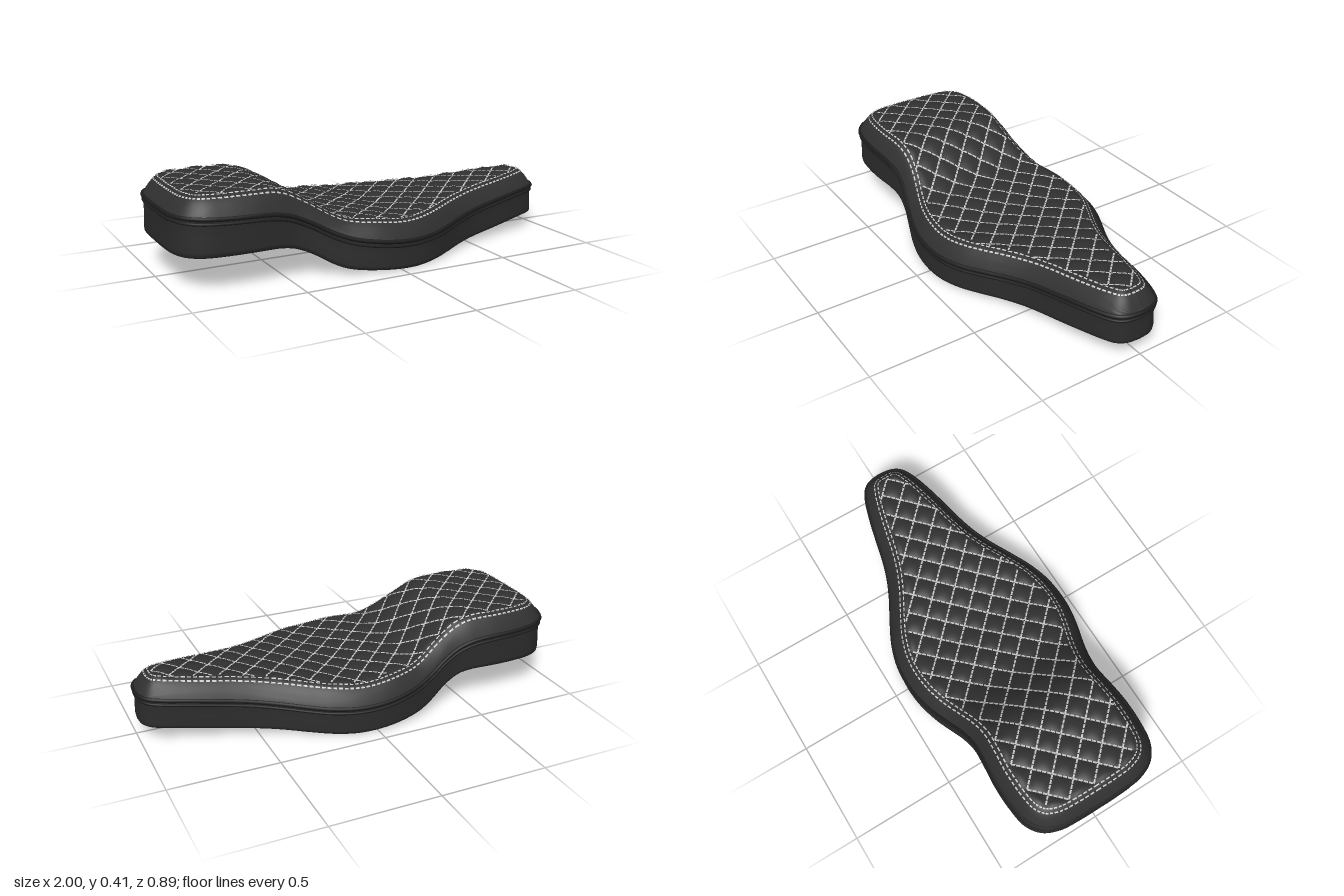
import * as THREE from 'three';

// Smooth curve through [x, value] pairs
function profile(pts) {
  const slope = (i) => {
    const a = pts[Math.max(i - 1, 0)], b = pts[Math.min(i + 1, pts.length - 1)];
    return (b[1] - a[1]) / (b[0] - a[0]);
  };
  return (x) => {
    let i = 0;
    while (i < pts.length - 2 && x > pts[i + 1][0]) i++;
    const [x0, y0] = pts[i], [x1, y1] = pts[i + 1], h = x1 - x0;
    const t = THREE.MathUtils.clamp((x - x0) / h, 0, 1), t2 = t * t, t3 = t2 * t;
    return y0 * (2 * t3 - 3 * t2 + 1) + y1 * (3 * t2 - 2 * t3)
      + slope(i) * h * (t3 - 2 * t2 + t) + slope(i + 1) * h * (t3 - t2);
  };
}

// Heights along the seat: underside, piping seam and cushion top
const bottomY = profile([[-1, .155], [-.57, .155], [-.48, .143], [-.4, .11], [-.3, .052], [-.23, .028],
  [-.1, .013], [.05, .004], [.18, .006], [.4, .022], [.6, .039], [.8, .062], [.9, .07], [1, .07]]);
const seamY = profile([[-1, .328], [-.8, .32], [-.6, .312], [-.5, .293], [-.4, .25], [-.3, .196],
  [-.2, .162], [0, .136], [.2, .136], [.4, .155], [.6, .18], [.8, .203], [1, .216]]);
const topY = profile([[-1, .413], [-.58, .413], [-.5, .398], [-.4, .345], [-.3, .282], [-.23, .252],
  [-.1, .238], [.05, .225], [.2, .234], [.4, .252], [.6, .272], [.8, .291], [.9, .3], [1, .302]]);

// Plan outline: one half as a curve, the other mirrored
const N = 260;
const half = new THREE.CatmullRomCurve3([
  [-.99, 0], [-.989, .1], [-.98, .2], [-.945, .278], [-.88, .325], [-.78, .343], [-.66, .346], [-.55, .337],
  [-.46, .332], [-.38, .345], [-.3, .37], [-.2, .404], [-.1, .427], [0, .433], [.1, .422], [.2, .39], [.3, .34],
  [.4, .286], [.5, .242], [.6, .212], [.7, .189], [.8, .164], [.9, .132], [.955, .102], [.982, .06], [.99, 0],
].map(([x, z]) => new THREE.Vector3(x, 0, z))).getSpacedPoints(N);
const loop = [...half, ...half.slice(1, -1).reverse().map((p) => new THREE.Vector3(p.x, 0, -p.z))];
const L = loop.length;

// Outline point moved inwards by d
function insetPoint(i, d) {
  const p = loop[i % L], a = loop[(i + L - 1) % L], b = loop[(i + 1) % L];
  const dx = b.x - a.x, dz = b.z - a.z, len = Math.hypot(dx, dz);
  return new THREE.Vector3(p.x + dz / len * d, 0, p.z - dx / len * d);
}

function edgeDistance(x, z) {
  let best = 9;
  for (const p of loop) best = Math.min(best, (p.x - x) ** 2 + (p.z - z) ** 2);
  return Math.sqrt(best);
}

// Cushion height: rounded shoulder plus diamond quilting
const PITCH = .13, PUFF = .012;
function cushionY(x, z) {
  const d = edgeDistance(x, z);
  const shoulder = 1 - (1 - Math.min(d / .1, 1)) ** 2.2;
  const a = Math.abs(Math.sin((x + z) * Math.PI / PITCH));
  const b = Math.abs(Math.sin((x - z) * Math.PI / PITCH));
  const mask = THREE.MathUtils.smoothstep(d, .06, .09);
  const base = seamY(x) + (topY(x) - seamY(x)) * shoulder;
  return base + mask * PUFF * ((a * b) ** .6 - .7);
}

// Grid surface from a point function; faces along (j direction) x (i direction)
function grid(ni, nj, point) {
  const pos = [], idx = [];
  for (let i = 0; i <= ni; i++) for (let j = 0; j <= nj; j++) pos.push(...point(i, j));
  for (let i = 0; i < ni; i++) for (let j = 0; j < nj; j++) {
    const a = i * (nj + 1) + j, b = a + nj + 1;
    idx.push(a, a + 1, b, b, a + 1, b + 1);
  }
  return finish(pos, idx);
}

function finish(pos, idx) {
  const g = new THREE.BufferGeometry();
  g.setAttribute('position', new THREE.Float32BufferAttribute(pos, 3));
  g.setIndex(idx);
  g.computeVertexNormals();
  return g;
}

// Thin thread dashes lying on the cushion, from a list of [start, end] pairs
function stitches(dashes, width) {
  const pos = [], idx = [];
  for (const [a, b] of dashes) {
    const dx = b.x - a.x, dz = b.z - a.z, s = width / 2 / Math.hypot(dx, dz), n = pos.length / 3;
    for (const [p, k] of [[a, s], [a, -s], [b, s], [b, -s]]) {
      const x = p.x + dz * k, z = p.z - dx * k;
      pos.push(x, cushionY(x, z) + .005, z);
    }
    idx.push(n, n + 1, n + 2, n + 2, n + 1, n + 3);
  }
  return finish(pos, idx);
}

export function createModel() {
  const group = new THREE.Group();
  const material = (name, color, side = THREE.FrontSide) => {
    const m = new THREE.MeshStandardMaterial({ color, side });
    m.name = name;
    return m;
  };
  const leather = material('charcoal leather', 0x303030);
  const cover = material('side leather', 0x2c2c2c);
  const trim = material('dark piping', 0x1e1e1e);
  const under = material('base board', 0x222222);
  const thread = material('pale thread', 0xc4c4c4, THREE.DoubleSide);
  const add = (name, geometry, mat) => {
    const mesh = new THREE.Mesh(geometry, mat);
    mesh.name = name;
    group.add(mesh);
  };

  // Quilted cushion, rows packed more closely near the edges
  const rows = 80;
  add('quiltedCushion', grid(N, rows, (i, j) => {
    const v = 2 * j / rows - 1;
    const x = half[i].x, z = half[i].z * (.7 * v + .3 * Math.sin(v * Math.PI / 2));
    return [x, cushionY(x, z), z];
  }), leather);

  // Side wall with a softly rounded lower edge
  const levels = [[0, 0], [.2, .003], [.5, .001], [.85, -.002], [.95, 0], [1, .01]];
  add('sideWall', grid(L, levels.length - 1, (i, j) => {
    const [t, d] = levels[j], p = insetPoint(i, d), x = loop[i % L].x;
    return [p.x, THREE.MathUtils.lerp(seamY(x), bottomY(x), t), p.z];
  }), cover);

  // Underside
  add('underside', grid(N, 4, (i, j) => {
    const p = insetPoint(i, .01);
    return [p.x, bottomY(half[i].x), p.z * (1 - j / 2)];
  }), under);

  // Piping and the smaller welt below it
  for (const [name, drop, radius, out] of [['piping', 0, .01, 0], ['lowerWelt', .022, .006, 0]]) {
    const pts = [];
    for (let i = 0; i < L; i += 4) {
      const p = insetPoint(i, -out);
      pts.push(p.setY(seamY(p.x) - drop));
    }
    add(name, new THREE.TubeGeometry(new THREE.CatmullRomCurve3(pts, true), 320, radius, 8, true), trim);
  }

  // Double row of stitching round the edge
  for (const [name, d] of [['outerEdgeStitching', .05], ['innerEdgeStitching', .068]]) {
    const dashes = [];
    for (let i = 0; i < L; i += 3) {
      const a = insetPoint(i, d), b = insetPoint(i + 2, d);
      if (edgeDistance(a.x, a.z) > d - .004 && edgeDistance(b.x, b.z) > d - .004) dashes.push([a, b]);
    }
    add(name, stitches(dashes, .006), thread);
  }

  // Diagonal stitching in the quilt seams
  const dashes = [], step = PITCH / 8;
  const inside = (p) => {
    const i = half.findIndex((q) => q.x >= p.x);
    return i > 0 && Math.abs(p.z) < half[i].z && edgeDistance(p.x, p.z) > .07;
  };
  for (const s of [1, -1]) for (let k = -11; k <= 11; k++) for (let m = -28; m < 28; m++) {
    const at = (z) => new THREE.Vector3(k * PITCH + s * z, 0, z);
    const a = at(m * step), b = at((m + .82) * step);
    if (inside(a) && inside(b)) dashes.push([a, b]);
  }
  add('quiltStitching', stitches(dashes, .008), thread);
  return group;
}
